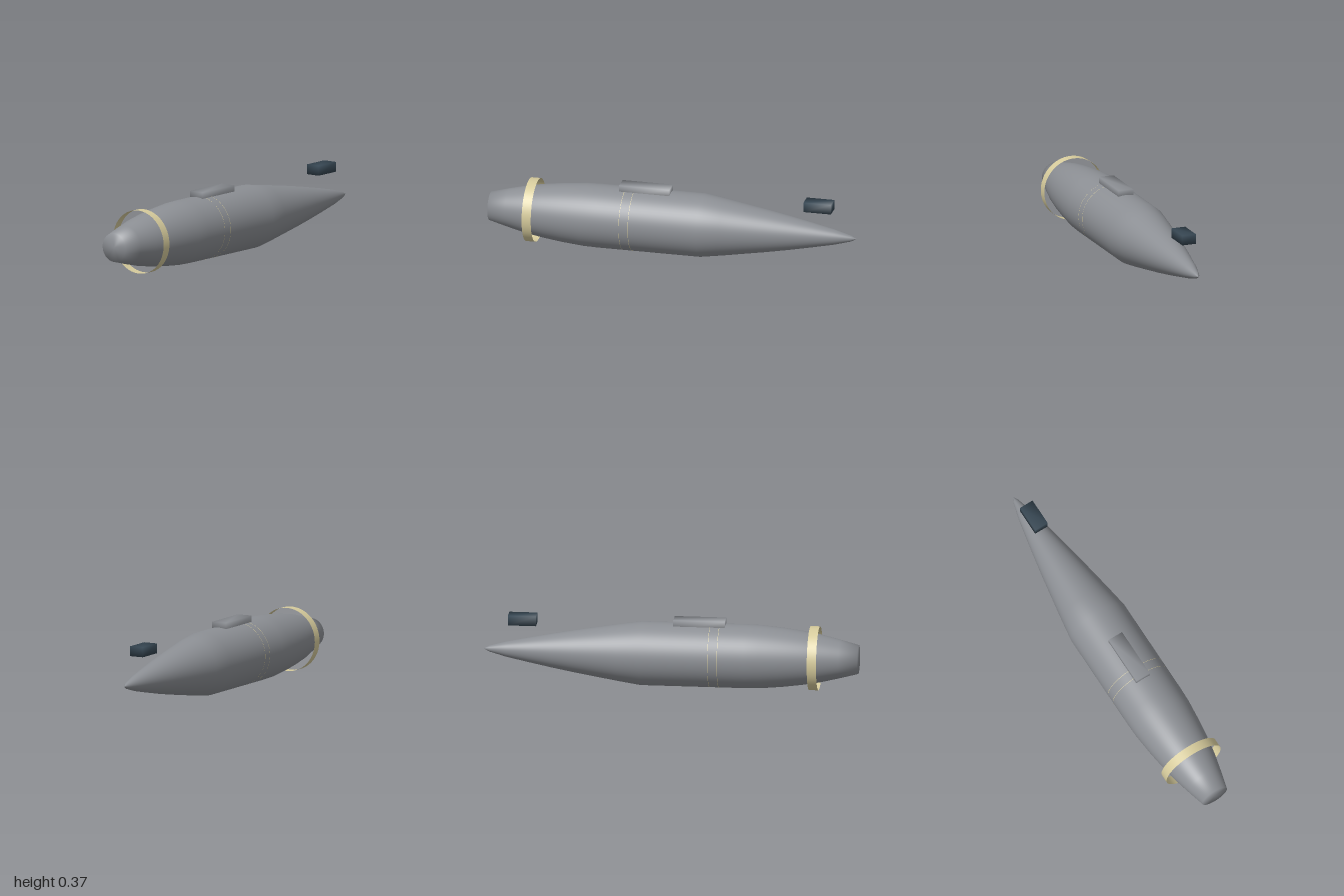
import * as THREE from 'three';
import { mergeVertices } from 'three/addons/utils/BufferGeometryUtils.js';

const AXIS_Y = 0.172;

export function createModel() {
  const group = new THREE.Group();
  const hullGrey = new THREE.MeshStandardMaterial({ color: 0x8c8f94 });
  const bandTan = new THREE.MeshStandardMaterial({ color: 0xd6cb9c, side: THREE.DoubleSide });
  const sensorBlue = new THREE.MeshStandardMaterial({ color: 0x364652 });

  const add = (name, geometry, material, x, y) => {
    const mesh = new THREE.Mesh(geometry, material);
    mesh.name = name;
    mesh.position.set(x, y, 0);
    group.add(mesh);
    return mesh;
  };

  // Box with shared corners, so it shades softly
  const softBox = (w, h, d) => {
    const box = new THREE.BoxGeometry(w, h, d);
    box.deleteAttribute('uv');
    box.deleteAttribute('normal');
    const soft = mergeVertices(box);
    soft.computeVertexNormals();
    return soft;
  };

  // Thin open hoop around the long axis
  const hoop = (name, x, radius, width) => {
    const geometry = new THREE.CylinderGeometry(radius, radius, width, 64, 1, true);
    add(name, geometry.rotateZ(-Math.PI / 2), bandTan, x, AXIS_Y);
  };

  // Hull: flat tail, tapered boat-tail, straight middle, curved nose
  const profile = [
    [0, -1], [0.077, -1], [0.103, -0.9], [0.127, -0.8], [0.144, -0.7], [0.157, -0.6],
    [0.168, -0.48], [0.17, -0.4], [0.17, 0.16], [0.152, 0.28], [0.132, 0.4],
    [0.112, 0.52], [0.09, 0.64], [0.066, 0.76], [0.041, 0.88], [0.016, 0.97], [0, 1],
  ].map(([r, x]) => new THREE.Vector2(r, x));
  add('hull', new THREE.LatheGeometry(profile, 64).rotateZ(-Math.PI / 2), hullGrey, 0, AXIS_Y);

  // Loose hoop at the tail, and the flush band whose two edges show
  hoop('tailBand', -0.765, 0.17, 0.05);
  hoop('middleBand', -0.235, 0.1697, 0.05);
  for (const side of [-1, 1]) hoop('middleBandEdge', -0.235 + side * 0.025, 0.1706, 0.002);

  // Raised spine block and the separate sensor above the nose
  add('spineBlock', softBox(0.275, 0.06, 0.084), hullGrey, -0.152, 0.34);
  add('noseSensor', softBox(0.15, 0.053, 0.078), sensorBlue, 0.793, 0.341);

  return group;
}
